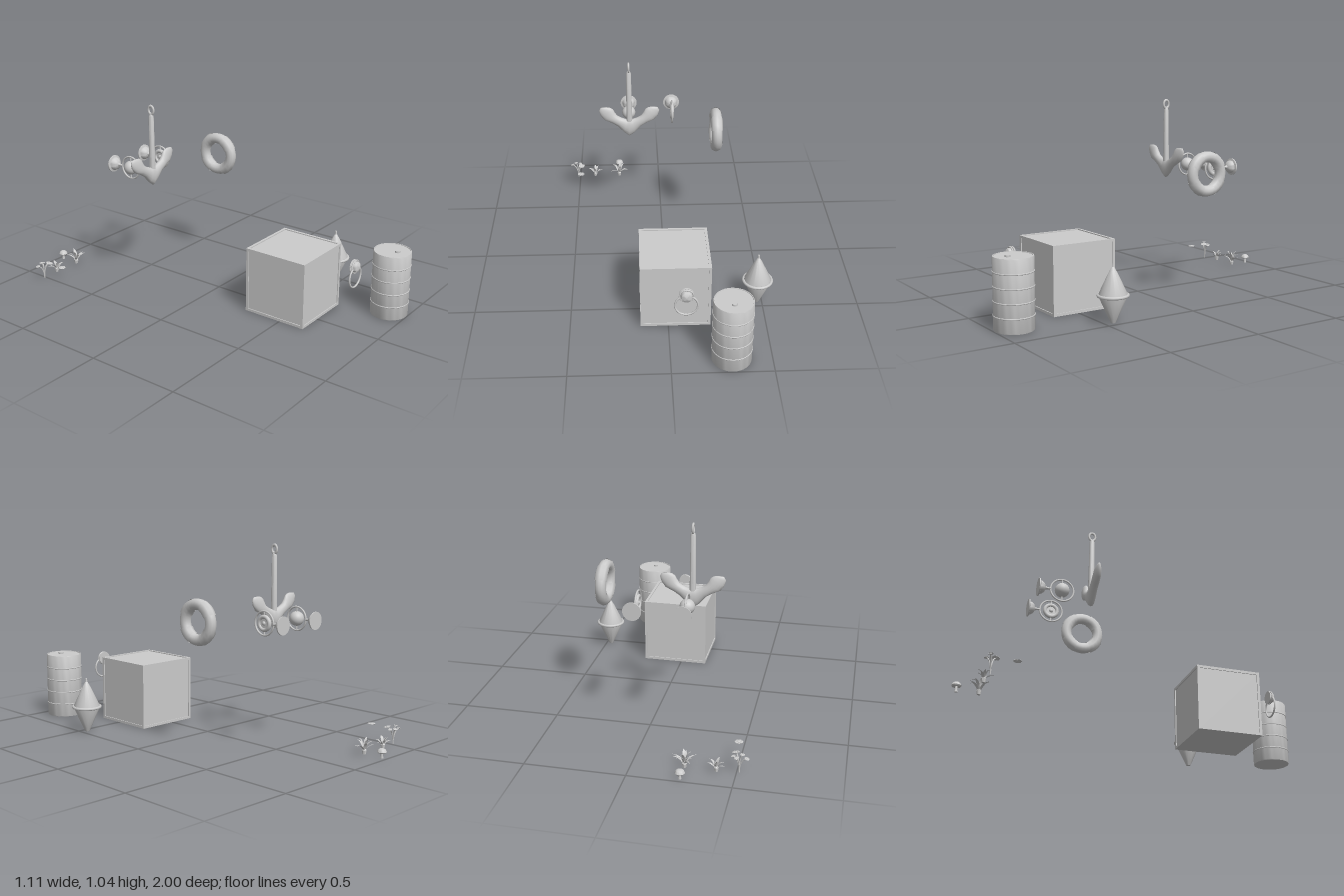
import * as THREE from 'three';
import { toCreasedNormals } from 'three/addons/utils/BufferGeometryUtils.js';

const grey = new THREE.MeshStandardMaterial({ color: 0xcccccc });
const thin = new THREE.MeshStandardMaterial({ color: 0xcccccc, side: THREE.DoubleSide });

function add(parent, name, geo, x = 0, y = 0, z = 0, mat = grey) {
  const m = new THREE.Mesh(geo, mat);
  m.name = name;
  m.position.set(x, y, z);
  parent.add(m);
  return m;
}

function group(parent, name, x, y, z) {
  const g = new THREE.Group();
  g.name = name;
  g.position.set(x, y, z);
  parent.add(g);
  return g;
}

const lathe = (pts, seg = 24) =>
  toCreasedNormals(new THREE.LatheGeometry(pts.map(p => new THREE.Vector2(...p)), seg), 0.6);
const tube = (pts, r, seg = 10) => new THREE.TubeGeometry(
  new THREE.CatmullRomCurve3(pts.map(p => new THREE.Vector3(...p))), seg, r, 6);

// Skin through elliptical cross-sections: [bottom x, bottom y, top x, top y, half depth]
function loft(sections, n = 16) {
  const pos = [], idx = [];
  sections.forEach(([bx, by, tx, ty, d], i) => {
    for (let j = 0; j < n; j++) {
      const a = j / n * Math.PI * 2, k = Math.cos(a) / 2;
      pos.push((bx + tx) / 2 + k * (tx - bx), (by + ty) / 2 + k * (ty - by), Math.sin(a) * d);
      if (i < sections.length - 1) {
        const p = i * n + j, q = i * n + (j + 1) % n;
        idx.push(p, q, p + n, q, q + n, p + n);
      }
    }
  });
  const g = new THREE.BufferGeometry();
  g.setAttribute('position', new THREE.Float32BufferAttribute(pos, 3));
  g.setIndex(idx);
  g.computeVertexNormals();
  return g;
}

// Arching, pointed leaf with a folded middle, growing along +x
function leafGeometry(length, height, width) {
  const g = new THREE.PlaneGeometry(1, 1, 2, 7), p = g.attributes.position;
  for (let i = 0; i < p.count; i++) {
    const s = p.getX(i) * 2, t = p.getY(i) + 0.5;
    const w = width * (0.35 + 0.65 * Math.sin(Math.PI * Math.min(1, t * 1.1))) * (1 - t ** 4);
    p.setXYZ(i, length * t ** 1.5, height * (1.9 * t - 1.05 * t * t) + Math.abs(s) * w * 0.3, s * w);
  }
  g.computeVertexNormals();
  return g;
}

function leafPlant(root, name, x, z, radius, height, count) {
  const plant = group(root, name, x, 0, z);
  for (let i = 0; i < count; i++) {
    const k = 1 - 0.22 * (i % 3);
    const leaf = add(plant, 'leaf', leafGeometry(radius * k, height * (0.75 + 0.2 * (i % 3)), 0.008), 0, 0, 0, thin);
    leaf.rotation.y = i / count * Math.PI * 2 + 0.3 * (i % 2);
  }
  add(plant, 'plantBase', lathe([[0, 0], [0.009, 0], [0.012, 0.02], [0, 0.035]], 8));
}

// Flat bloom of small petals
function bloom(parent, x, y, z, r) {
  const b = group(parent, 'bloom', x, y, z);
  for (let i = 0; i < 7; i++) {
    const a = i / 7 * Math.PI * 2;
    add(b, 'petal', new THREE.SphereGeometry(r * 0.38, 8, 5), Math.cos(a) * r * 0.62, 0, Math.sin(a) * r * 0.62).scale.y = 0.3;
  }
  add(b, 'bloomCentre', new THREE.SphereGeometry(r * 0.4, 8, 6)).scale.y = 0.5;
  return b;
}

// Wall dome with a stem and an upright ring in front of it
function wallMount(root, name, x) {
  const g = group(root, name, x, 0.655, -0.47);
  const dome = add(g, 'wallDome', lathe([[0, 0], [0.047, 0], [0.047, 0.006], [0.036, 0.009], [0.033, 0.021], [0.024, 0.032], [0.01, 0.039], [0.006, 0.05], [0.006, 0.066], [0, 0.068]]), 0, 0, -0.127);
  dome.rotation.x = Math.PI / 2;
  add(g, 'outerRing', new THREE.TorusGeometry(0.061, 0.005, 8, 40)).rotation.y = Math.PI / 2;
  for (const s of [-1, 1]) add(g, 'pivot', new THREE.CylinderGeometry(0.004, 0.004, 0.03, 8), 0, s * 0.047, 0);
  return g;
}

export function createModel() {
  const root = new THREE.Group();
  root.name = 'harbourProps';

  // Crate: recessed panels inside an edge frame
  const S = 0.357, T = 0.014, h = S / 2 - T / 2;
  const crate = group(root, 'crate', 0.037, S / 2, 0.464);
  add(crate, 'cratePanels', new THREE.BoxGeometry(S - 0.01, S - 0.005, S - 0.01), 0, -0.0025, 0);
  for (const a of [-h, h]) for (const b of [-h, h]) {
    add(crate, 'frameBarX', new THREE.BoxGeometry(S, T, T), 0, a, b);
    add(crate, 'frameBarY', new THREE.BoxGeometry(T, S, T), a, 0, b);
    add(crate, 'frameBarZ', new THREE.BoxGeometry(T, T, S), a, b, 0);
  }

  // Barrel with raised hoops
  const barrel = group(root, 'barrel', 0.298, 0, 0.9);
  add(barrel, 'drum', lathe([[0, 0], [0.097, 0], [0.099, 0.004], [0.099, 0.351], [0.097, 0.356], [0.094, 0.356], [0.093, 0.352], [0, 0.352]], 32));
  for (let i = 1; i <= 4; i++)
    add(barrel, 'hoop', new THREE.TorusGeometry(0.098, 0.004, 6, 32), 0, 0.003 + i * 0.07, 0).rotation.x = Math.PI / 2;
  add(barrel, 'bung', new THREE.CylinderGeometry(0.014, 0.014, 0.01, 12), 0, 0.356, 0.028);

  // Buoy: two cones, a belt and a mast
  const buoy = group(root, 'buoy', 0.472, 0, 0.46);
  add(buoy, 'buoyBody', lathe([[0, 0.004], [0.012, 0.004], [0.022, 0.025], [0.07, 0.134], [0.07, 0.148], [0.022, 0.25], [0.008, 0.275], [0.005, 0.278], [0.005, 0.297], [0, 0.297]], 16));
  add(buoy, 'belt', new THREE.TorusGeometry(0.073, 0.008, 8, 24), 0, 0.14, 0).rotation.x = Math.PI / 2;

  // Mooring ring hanging from a knob
  const mooring = group(root, 'mooringRing', 0.08, 0.315, 0.793);
  const knob = add(mooring, 'knob', lathe([[0, 0], [0.037, 0], [0.037, 0.005], [0.028, 0.008], [0.03, 0.018], [0.026, 0.029], [0.014, 0.036], [0, 0.038]]));
  knob.rotation.x = Math.PI / 2;
  add(mooring, 'knobCollar', new THREE.TorusGeometry(0.034, 0.004, 8, 24), 0, 0, 0.014);
  add(mooring, 'hangingRing', new THREE.TorusGeometry(0.056, 0.005, 8, 40), 0, -0.055, 0.015);

  // Anchor
  const anchor = group(root, 'anchor', -0.18, 0, -0.315);
  const arm = [
    [0.03, 0.61, 0.013, 0.69, 0.022], [0.065, 0.65, 0.042, 0.70, 0.021],
    [0.10, 0.672, 0.068, 0.715, 0.021], [0.14, 0.69, 0.082, 0.738, 0.02],
    [0.16, 0.718, 0.09, 0.754, 0.017], [0.168, 0.746, 0.103, 0.763, 0.012],
    [0.158, 0.764, 0.118, 0.766, 0.006], [0.138, 0.766, 0.138, 0.766, 0]];
  const mirrored = arm.map(([a, b, c, d, e]) => [-a, b, -c, d, e]).reverse();
  add(anchor, 'armsAndFlukes', loft([...mirrored, [0, 0.588, 0, 0.70, 0.023], ...arm]));
  add(anchor, 'shank', lathe([[0, 0.62], [0.019, 0.62], [0.016, 0.72], [0.0135, 0.97], [0.009, 0.983], [0, 0.985]], 16));
  const eye = add(anchor, 'eye', new THREE.TorusGeometry(0.017, 0.006, 8, 24), 0, 1.005, 0);
  eye.rotation.y = Math.PI / 2;
  eye.scale.y = 1.3;

  // Wall mounts: one holds a lens of nested rings, the other a ball
  const lens = wallMount(root, 'ringLantern', 0.065);
  add(lens, 'lensRing', new THREE.TorusGeometry(0.033, 0.011, 10, 32)).rotation.y = Math.PI / 2;
  add(lens, 'lensDisc', new THREE.CylinderGeometry(0.028, 0.028, 0.008, 24)).rotation.z = Math.PI / 2;
  add(lens, 'lensCentre', new THREE.SphereGeometry(0.012, 12, 8));
  const ball = wallMount(root, 'ballLantern', -0.183);
  add(ball, 'ball', new THREE.SphereGeometry(0.038, 24, 16));

  // Life ring with four wraps
  const life = group(root, 'lifeRing', 0.298, 0.66, -0.235);
  life.rotation.y = Math.PI / 2;
  add(life, 'ringBody', new THREE.TorusGeometry(0.091, 0.029, 12, 32));
  for (let i = 0; i < 4; i++)
    add(life, 'wrap', new THREE.TorusGeometry(0.091, 0.0325, 8, 3, 0.75), 0, 0, 0, thin).rotation.z = Math.PI / 4 - 0.375 + i * Math.PI / 2;

  // Leafy plants
  leafPlant(root, 'smallPlant', -0.405, -0.872, 0.055, 0.062, 8);
  leafPlant(root, 'largePlant', -0.252, -0.868, 0.068, 0.08, 10);

  // Mushroom
  const mushroom = group(root, 'mushroom', -0.252, 0, -0.975);
  add(mushroom, 'stalk', lathe([[0, 0], [0.008, 0], [0.006, 0.015], [0.006, 0.034]], 10));
  add(mushroom, 'cap', lathe([[0, 0.03], [0.021, 0.028], [0.024, 0.033], [0.019, 0.044], [0.01, 0.05], [0, 0.052]], 16));

  // Flowers on bending stems, and one loose bloom
  const flowers = group(root, 'flowers', -0.512, 0, -0.86);
  for (const [x, y, z, r] of [[-0.036, 0.082, -0.01, 0.013], [0.021, 0.092, 0.024, 0.02], [0.012, 0.085, -0.02, 0.013], [-0.014, 0.098, -0.004, 0.012], [0.03, 0.083, 0.0, 0.012]]) {
    add(flowers, 'stem', tube([[0, 0, 0], [x * 0.1, y * 0.45, z * 0.1], [x * 0.5, y * 0.85, z * 0.5], [x, y, z]], 0.003));
    bloom(flowers, x, y, z, r).rotation.set(z * 8, 0, -x * 8);
  }
  bloom(root, -0.49, 0.091, -0.736, 0.022).name = 'looseBloom';

  return root;
}
